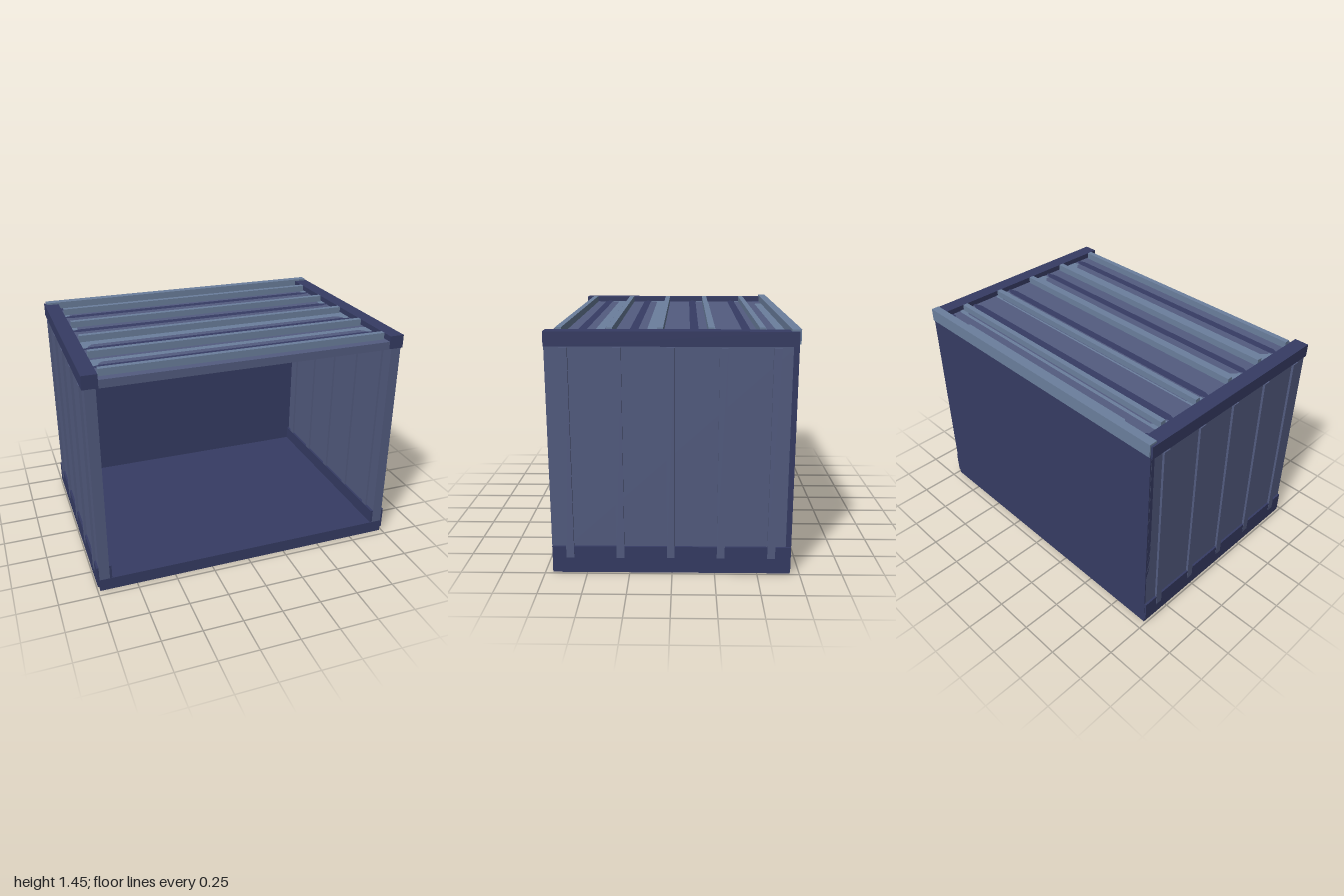
import * as THREE from 'three';

const flat = (name, color) => {
  const m = new THREE.MeshStandardMaterial({ color });
  m.name = name;
  return m;
};

export function createModel() {
  const navy = flat('navy', 0x363c64);
  const slate = flat('slateBlue', 0x535c80);
  const steel = flat('paleSteel', 0x6b7f9d);
  const model = new THREE.Group();
  model.name = 'openContainer';

  // Box given by its extents on each axis
  const box = (name, mat, [x0, x1], [y0, y1], [z0, z1]) => {
    const mesh = new THREE.Mesh(new THREE.BoxGeometry(x1 - x0, y1 - y0, z1 - z0), mat);
    mesh.position.set((x0 + x1) / 2, (y0 + y1) / 2, (z0 + z1) / 2);
    mesh.name = name;
    model.add(mesh);
  };
  // Flat painted band on the roof with cut corners
  const band = (name, mat, [x0, x1], [z0, z1], y, cx = 0.03, cz = 0.02) => {
    const s = new THREE.Shape([
      [x0 + cx, -z1], [x1 - cx, -z1], [x1, -z1 + cz], [x1, -z0 - cz],
      [x1 - cx, -z0], [x0 + cx, -z0], [x0, -z0 - cz], [x0, -z1 + cz],
    ].map(([x, v]) => new THREE.Vector2(x, v)));
    const mesh = new THREE.Mesh(new THREE.ShapeGeometry(s).rotateX(-Math.PI / 2), mat);
    mesh.position.y = y;
    mesh.name = name;
    model.add(mesh);
  };

  // Floor and back wall
  box('floor', navy, [-0.985, 0.985], [0, 0.08], [-0.695, 0.705]);
  box('backWall', navy, [-0.985, 0.985], [0.08, 1.4], [-0.697, -0.665]);

  // Side walls, rails and vertical ribs, mirrored
  for (const s of [-1, 1]) {
    const side = s > 0 ? 'left' : 'right';
    const span = (a, b) => (s > 0 ? [a, b] : [-b, -a]);
    box(side + 'Wall', slate, span(0.92, 0.985), [0.08, 1.36], [-0.69, 0.704]);
    box(side + 'BottomRail', navy, span(0.905, 0.998), [0.03, 0.17], [-0.695, 0.702]);
    box(side + 'TopRail', navy, span(0.905, 0.998), [1.352, 1.435], [-0.695, 0.705]);
    for (const z of [0.597, 0.302, 0.007, -0.285, -0.58])
      box(side + 'WallRib', slate, span(0.907, 1), [0.1, 1.345], [z - 0.023, z + 0.023]);
  }

  // Roof panel, rear beam and cross ribs
  box('roof', slate, [-0.906, 0.906], [1.35, 1.4], [-0.695, 0.704]);
  box('rearRoofBeam', steel, [-0.985, 0.985], [1.363, 1.447], [-0.705, -0.652]);
  for (const z of [0.635, 0.35, 0.067, -0.218, -0.503])
    box('roofRib', steel, [-0.893, 0.893], [1.395, 1.443], [z - 0.017, z + 0.017]);

  // Painted roof bands: pale field, inset panel, dark groove
  const grooves = [
    [-0.55, -0.53, -0.45],
    [-0.25, -0.24, -0.15],
    [0.05, 0.15, 0.2],
    [0.4, 0.45, 0.5],
  ];
  for (const [start, inset, dark] of grooves) {
    band('paleBand', steel, [-0.905, 0.905], [start, dark], 1.402, 0.02, 0.01);
    band('insetBand', slate, [-0.86, 0.86], [inset, dark + 0.03], 1.404, 0.03, 0.03);
    band('darkGroove', navy, [-0.905, 0.905], [dark, dark + 0.05], 1.406, 0.05, 0.02);
  }
  band('rearPaleBand', steel, [-0.725, 0.725], [-0.66, -0.6], 1.403, 0.02, 0.02);
  for (const x of [-0.882, 0.882])
    band('rearDarkCorner', navy, [x - 0.023, x + 0.023], [-0.66, -0.6], 1.403, 0.01, 0.01);

  return model;
}
